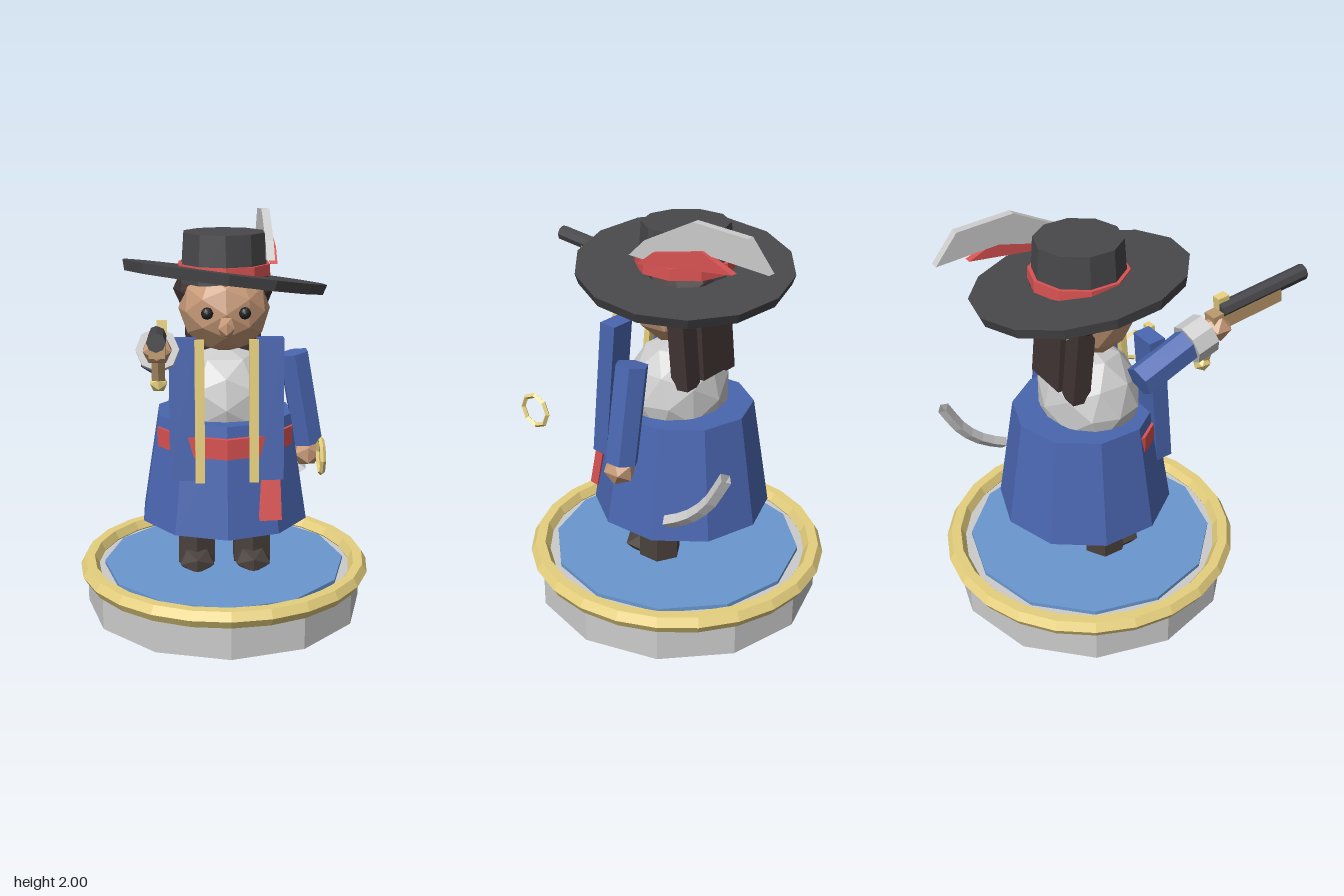
import * as THREE from 'three';

const mat = (color) => new THREE.MeshStandardMaterial({ color, flatShading: true });
const M = {
  grey: mat(0xcccccc), blue: mat(0x4a66b0), floor: mat(0x6a98d0), gold: mat(0xe6d07e),
  red: mat(0xd95252), hat: mat(0x48484b), skin: mat(0xc79a78), hair: mat(0x403333),
  boot: mat(0x4a413c), wood: mat(0xb8966a), iron: mat(0x46464a), black: mat(0x222222),
};

export function createModel() {
  const model = new THREE.Group();

  const add = (name, geo, material, pos = [0, 0, 0], rot = [0, 0, 0], scale = [1, 1, 1]) => {
    const m = new THREE.Mesh(geo, material);
    m.name = name;
    m.position.set(...pos);
    m.rotation.set(...rot);
    m.scale.set(...scale);
    model.add(m);
    return m;
  };
  const box = (name, size, material, pos, rot) => add(name, new THREE.BoxGeometry(...size), material, pos, rot);
  const cyl = (name, rTop, rBottom, h, sides, material, pos, rot) =>
    add(name, new THREE.CylinderGeometry(rTop, rBottom, h, sides), material, pos, rot);
  // Faceted ball stretched to the given radii
  const ball = (name, radii, detail, material, pos) =>
    add(name, new THREE.IcosahedronGeometry(1, detail), material, pos, [0, 0, 0], radii);
  // Cylinder running from point a to point b
  const rod = (name, a, b, r, sides, material) => {
    const A = new THREE.Vector3(...a), B = new THREE.Vector3(...b);
    const dir = B.clone().sub(A);
    const m = cyl(name, r, r, dir.length(), sides, material, A.clone().add(B).multiplyScalar(0.5).toArray());
    m.quaternion.setFromUnitVectors(new THREE.Vector3(0, 1, 0), dir.normalize());
    return m;
  };
  // Flat plate from [z, y] points, with its thickness along x
  const plate = (name, points, x, depth, material) => {
    const shape = new THREE.Shape(points.map((p) => new THREE.Vector2(...p)));
    const geo = new THREE.ExtrudeGeometry(shape, { depth, bevelEnabled: false });
    geo.translate(0, 0, -depth / 2).rotateY(-Math.PI / 2);
    return add(name, geo, material, [x, 0, 0]);
  };

  // Round base
  cyl('base', 0.71, 0.71, 0.2, 12, M.grey, [0, 0.1, -0.14]);
  cyl('baseFloor', 0.62, 0.62, 0.03, 12, M.floor, [0, 0.205, -0.14]);
  add('baseRim', new THREE.TorusGeometry(0.697, 0.048, 6, 24), M.gold, [0, 0.207, -0.143], [Math.PI / 2, 0, 0]);

  // Legs, boots and coat front, mirrored
  for (const s of [-1, 1]) {
    cyl('leg', 0.107, 0.107, 0.4, 6, M.boot, [s * 0.143, 0.41, -0.145]);
    ball('bootToe', [0.1, 0.065, 0.12], 0, M.boot, [s * 0.143, 0.245, -0.06]);
    box('coatPanel', [0.13, 0.69, 0.085], M.blue, [s * 0.21, 1.09, 0.095], [-0.09, 0, 0]);
    box('coatTrim', [0.046, 0.69, 0.033], M.gold, [s * 0.13, 1.09, 0.15], [-0.09, 0, 0]);
  }

  // Skirt, sash and torso
  cyl('coatSkirt', 0.345, 0.433, 0.545, 10, M.blue, [0, 0.748, -0.17]);
  cyl('sash', 0.352, 0.352, 0.1, 10, M.red, [0, 0.915, -0.142]);
  box('sashTail', [0.11, 0.38, 0.045], M.red, [0.205, 0.735, 0.145], [-0.18, 0, 0.03]);
  ball('torso', [0.28, 0.28, 0.245], 1, M.grey, [0, 1.08, -0.14]);

  // Head
  ball('head', [0.225, 0.22, 0.22], 1, M.skin, [0, 1.545, -0.13]);
  ball('nose', [0.045, 0.055, 0.05], 0, M.skin, [0, 1.485, 0.09]);
  for (const s of [-1, 1]) ball('eye', [0.03, 0.03, 0.03], 1, M.black, [s * 0.09, 1.55, 0.065]);
  ball('hair', [0.25, 0.19, 0.21], 1, M.hair, [0, 1.63, -0.2]);
  for (const s of [-1, 1]) box('hairLock', [0.1, 0.4, 0.09], M.hair, [s * 0.14, 1.37, -0.275], [0.1, 0, 0]);
  box('hairBack', [0.18, 0.38, 0.08], M.hair, [0, 1.39, -0.305], [0.08, 0, 0]);

  // Hat with tilted brim, band and feathers
  cyl('hatBrim', 0.51, 0.495, 0.05, 14, M.hat, [0, 1.69, -0.175], [-0.11, 0, -0.13]);
  cyl('hatCrown', 0.205, 0.222, 0.24, 10, M.hat, [0, 1.79, -0.18]);
  cyl('hatBand', 0.233, 0.235, 0.055, 10, M.red, [0, 1.732, -0.18]);
  plate('greyFeather', [[-0.04, 1.785], [-0.15, 1.78], [-0.26, 1.82], [-0.47, 1.87], [-0.78, 1.845],
    [-0.67, 1.98], [-0.39, 2.0], [-0.13, 1.87]], 0.22, 0.04, M.grey);
  plate('redFeather', [[-0.1, 1.76], [-0.33, 1.785], [-0.61, 1.815], [-0.45, 1.885], [-0.19, 1.83]],
    0.24, 0.035, M.red);

  // Lowered left arm
  rod('leftArm', [0.345, 1.315, -0.14], [0.428, 0.85, -0.14], 0.08, 6, M.blue);
  ball('leftHand', [0.075, 0.075, 0.08], 0, M.skin, [0.42, 0.8, -0.12]);

  // Raised right arm
  rod('rightArm', [-0.34, 1.3, -0.08], [-0.325, 1.42, 0.25], 0.08, 6, M.blue);
  rod('rightCuff', [-0.325, 1.395, 0.195], [-0.325, 1.43, 0.305], 0.1, 8, M.grey);
  ball('rightHand', [0.075, 0.07, 0.075], 0, M.skin, [-0.325, 1.44, 0.365]);

  // Pistol
  rod('pistolBarrel', [-0.322, 1.515, 0.38], [-0.322, 1.578, 0.88], 0.04, 8, M.iron);
  box('pistolStock', [0.07, 0.085, 0.4], M.wood, [-0.322, 1.495, 0.525], [-0.13, 0, 0]);
  rod('pistolGrip', [-0.322, 1.47, 0.36], [-0.322, 1.29, 0.295], 0.035, 6, M.wood);
  box('pistolHammer', [0.045, 0.065, 0.06], M.gold, [-0.302, 1.55, 0.405], [-0.13, 0, 0]);
  ball('pistolPommel', [0.045, 0.045, 0.045], 0, M.gold, [-0.322, 1.27, 0.292]);

  // Sabre: ring guard and curved four-sided blade
  add('sabreGuard', new THREE.TorusGeometry(0.08, 0.013, 4, 8), M.gold, [0.42, 0.945, 0.413], [0, Math.PI / 2, 0]);
  const bladePath = new THREE.CatmullRomCurve3(
    [[0.62, -0.4], [0.69, -0.52], [0.8, -0.63], [0.96, -0.72]].map(([y, z]) => new THREE.Vector3(0.42, y, z)));
  const blade = add('sabreBlade', new THREE.TubeGeometry(bladePath, 6, 0.032, 4), M.grey.clone());
  blade.material.side = THREE.DoubleSide;

  return model;
}
